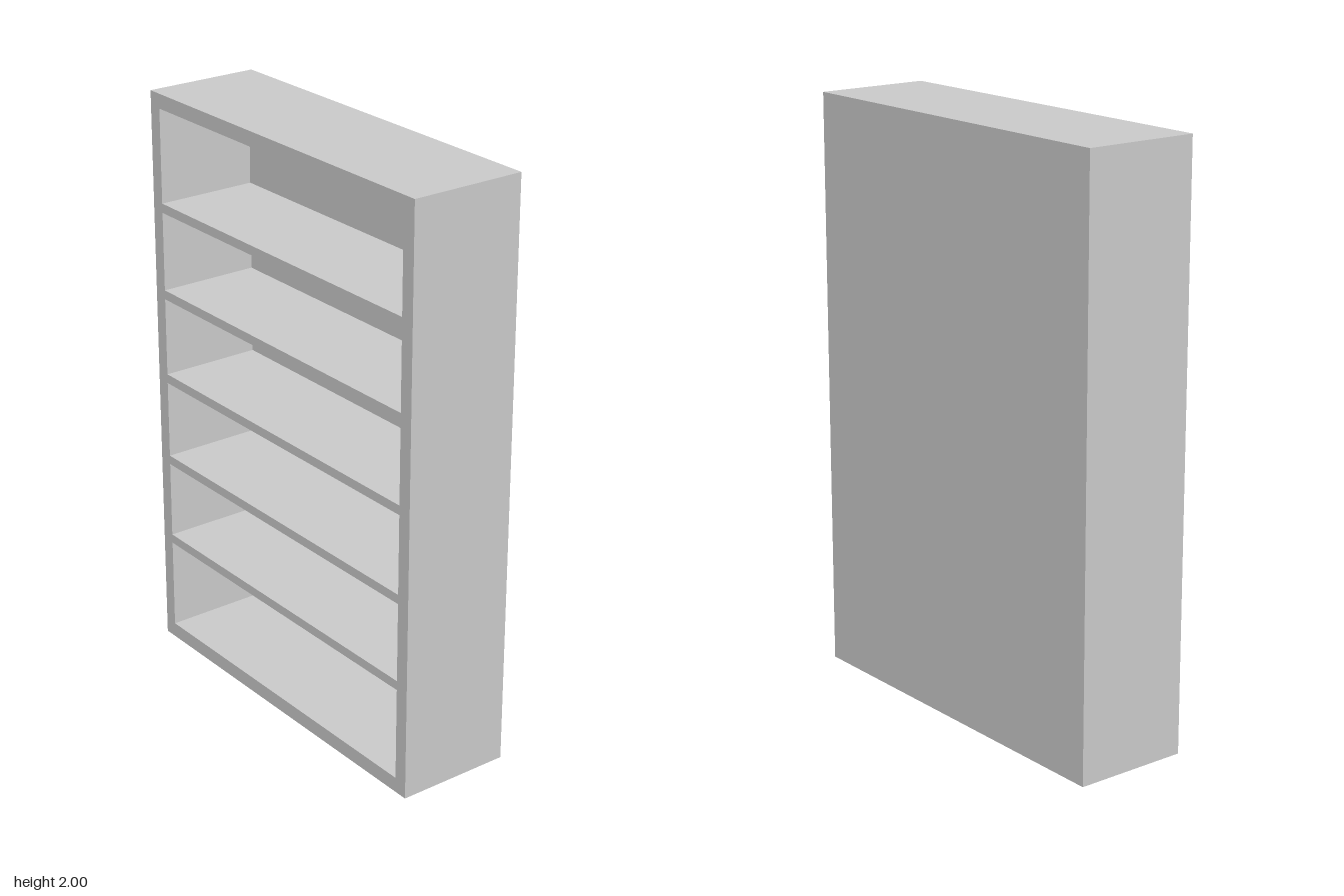
import * as THREE from 'three';

const W = 1.352, H = 2, D = 0.4;       // outer case
const OPEN_W = 1.254, DEPTH = 0.355;   // shelf compartments
const GAP = 0.032, BASE = 0.052;       // shelf thickness, bottom rail
const HEIGHTS = [0.323, 0.273, 0.273, 0.273, 0.273, 0.323];

const material = new THREE.MeshStandardMaterial({ color: 0xcccccc, side: THREE.DoubleSide });

// Box without the listed sides (0 +x, 1 -x, 2 +y, 3 -y, 4 +z, 5 -z), optionally facing inward
function openBox(w, h, d, removed, inward = false) {
  const box = new THREE.BoxGeometry(w, h, d);
  let index = Array.from(box.index.array).filter((_, i) => !removed.includes(Math.floor(i / 6)));
  if (inward) index = index.reverse();
  box.setIndex(index);
  box.clearGroups();
  const geometry = box.toNonIndexed();
  geometry.computeVertexNormals();
  return geometry;
}

function rectangle(path, w, y0, y1) {
  path.moveTo(-w / 2, y0);
  path.lineTo(w / 2, y0);
  path.lineTo(w / 2, y1);
  path.lineTo(-w / 2, y1);
  path.closePath();
  return path;
}

export function createModel() {
  const group = new THREE.Group();
  group.name = 'bookcase';
  const add = (name, geometry, y, z) => {
    const mesh = new THREE.Mesh(geometry, material);
    mesh.name = name;
    mesh.position.set(0, y, z);
    group.add(mesh);
  };

  // Sides, top and back; the underside is open
  add('case', openBox(W, H, D, [3, 4]), H / 2, 0);

  // Front frame with one opening per compartment, each lined with an inward-facing box
  const front = rectangle(new THREE.Shape(), W, 0, H);
  let y = BASE;
  HEIGHTS.forEach((h, i) => {
    front.holes.push(rectangle(new THREE.Path(), OPEN_W, y, y + h));
    add(`compartment${i + 1}`, openBox(OPEN_W, h, DEPTH, [4], true), y + h / 2, D / 2 - DEPTH / 2);
    y += h + GAP;
  });
  add('frontFrame', new THREE.ShapeGeometry(front), 0, D / 2);

  return group;
}
